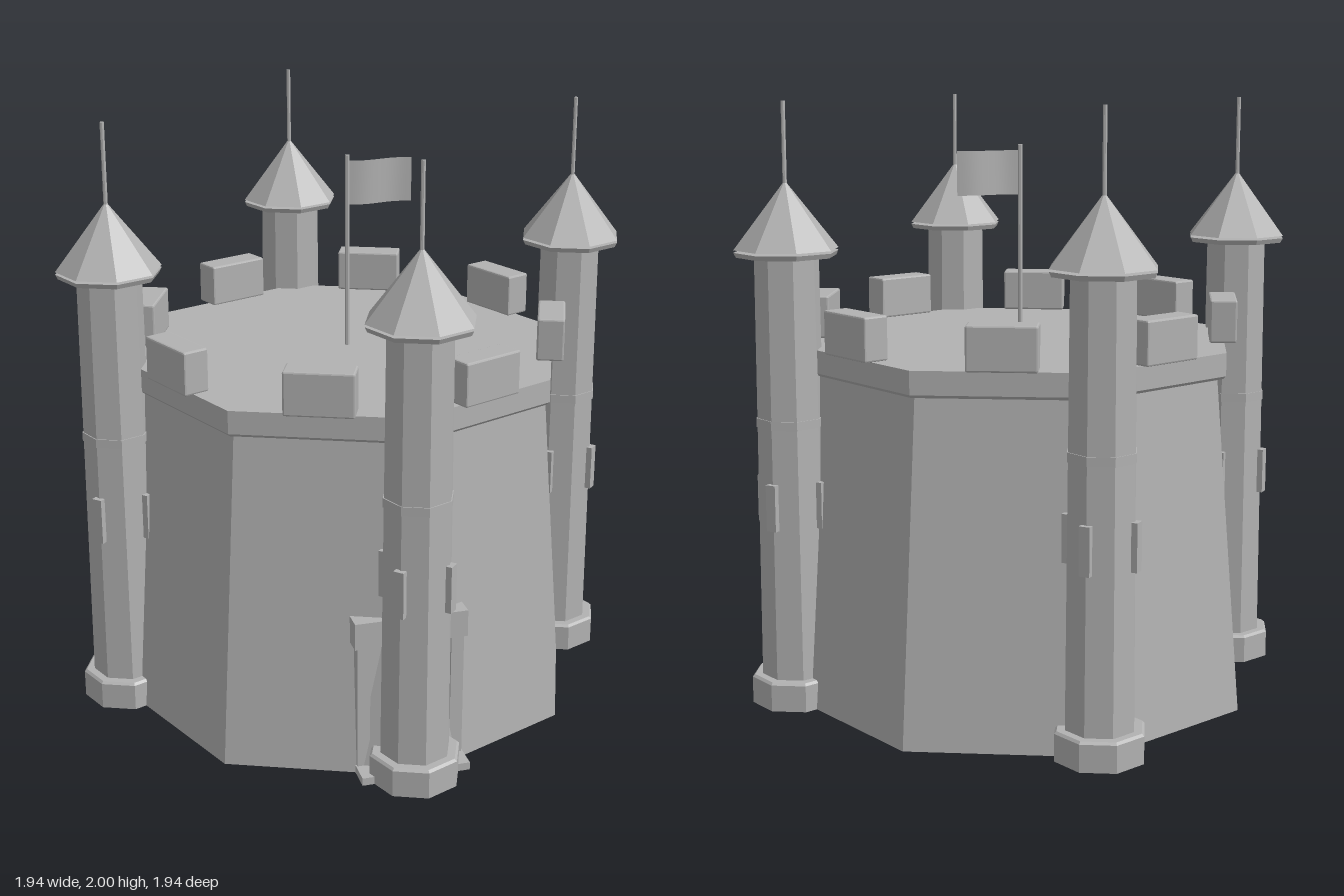
import * as THREE from 'three';
import { RoundedBoxGeometry } from 'three/addons/geometries/RoundedBoxGeometry.js';

const stone = new THREE.MeshStandardMaterial({ color: 0xb2b2b2 });
stone.name = 'stone grey';
const cloth = stone.clone();
cloth.name = 'flag grey';
cloth.side = THREE.DoubleSide;

// Faceted mesh: every face gets its own flat normal
function part(name, geometry, parent, x = 0, y = 0, z = 0) {
  const g = geometry.index ? geometry.toNonIndexed() : geometry;
  g.computeVertexNormals();
  const mesh = new THREE.Mesh(g, stone);
  mesh.name = name;
  mesh.position.set(x, y, z);
  parent.add(mesh);
  return mesh;
}

// Octagonal prism from y0 to y1, corners on the x and z axes
function prism(name, rTop, rBottom, y0, y1, parent, sides = 8) {
  const g = new THREE.CylinderGeometry(rTop, rBottom, y1 - y0, sides);
  return part(name, g, parent, 0, (y0 + y1) / 2, 0);
}

function box(name, x0, x1, y0, y1, z0, z1, parent) {
  const g = new THREE.BoxGeometry(x1 - x0, y1 - y0, z1 - z0);
  return part(name, g, parent, (x0 + x1) / 2, (y0 + y1) / 2, (z0 + z1) / 2);
}

function makeTower(angle) {
  const tower = new THREE.Group();
  tower.name = 'tower';
  tower.position.set(0.796 * Math.sin(angle), 0, 0.796 * Math.cos(angle));
  tower.rotation.y = angle;
  prism('towerFoot', 0.15, 0.15, 0, 0.09, tower);
  prism('towerFootBevel', 0.142, 0.15, 0.09, 0.098, tower);
  prism('towerShaft', 0.106, 0.115, 0.09, 1.51, tower);
  prism('towerBand', 0.113, 0.113, 0.945, 0.975, tower);
  prism('roofBrim', 0.172, 0.164, 1.503, 1.519, tower);
  prism('towerRoof', 0, 0.172, 1.527, 1.747, tower);
  prism('spire', 0.007, 0.007, 1.5, 2, tower, 8);
  // Raised arrow slits on the four diagonal corners
  for (let i = 0; i < 4; i++) {
    const a = Math.PI / 4 + i * Math.PI / 2;
    const slit = part('arrowSlit', new THREE.BoxGeometry(0.036, 0.155, 0.02), tower,
      0.116 * Math.sin(a), 0.688, 0.116 * Math.cos(a));
    slit.rotation.y = a;
  }
  return tower;
}

export function createModel() {
  const castle = new THREE.Group();
  castle.name = 'castle';

  // Tapered keep with a projecting rim that carries the deck
  prism('keepWall', 0.715, 0.812, 0, 1.115, castle);
  prism('rimBevel', 0.745, 0.735, 1.114, 1.124, castle);
  prism('deckRim', 0.745, 0.745, 1.124, 1.2, castle);

  // One merlon on the middle of each side
  for (let i = 0; i < 8; i++) {
    const a = Math.PI / 8 + i * Math.PI / 4;
    const merlon = part('merlon', new RoundedBoxGeometry(0.222, 0.143, 0.09, 1, 0.006), castle,
      0.683 * Math.sin(a), 1.275, 0.683 * Math.cos(a));
    merlon.rotation.y = a;
  }

  for (let i = 0; i < 4; i++) castle.add(makeTower(i * Math.PI / 2));

  // Doorway behind the front tower
  const doorway = new THREE.Group();
  doorway.name = 'doorway';
  castle.add(doorway);
  box('doorPanel', -0.135, 0.135, 0, 0.45, 0.69, 0.735, doorway);
  for (const s of [-1, 1]) {
    part('doorPost', new THREE.BoxGeometry(0.042, 0.45, 0.05), doorway, s * 0.155, 0.225, 0.721);
  }
  box('lintel', -0.186, 0.186, 0.447, 0.537, 0.68, 0.752, doorway);
  box('threshold', -0.18, 0.18, 0, 0.026, 0.7, 0.82, doorway);

  // Flagpole and gently waving flag at the centre of the deck
  prism('flagpole', 0.008, 0.008, 1.19, 1.85, castle, 8);
  const wave = new THREE.PlaneGeometry(0.22, 0.147, 12, 1);
  const p = wave.attributes.position;
  for (let i = 0; i < p.count; i++) {
    p.setZ(i, 0.008 * Math.sin((p.getX(i) / 0.22 + 0.5) * Math.PI * 2));
  }
  wave.computeVertexNormals();
  const flag = new THREE.Mesh(wave, cloth);
  flag.name = 'flag';
  flag.position.set(0.11, 1.757, 0);
  castle.add(flag);

  return castle;
}
